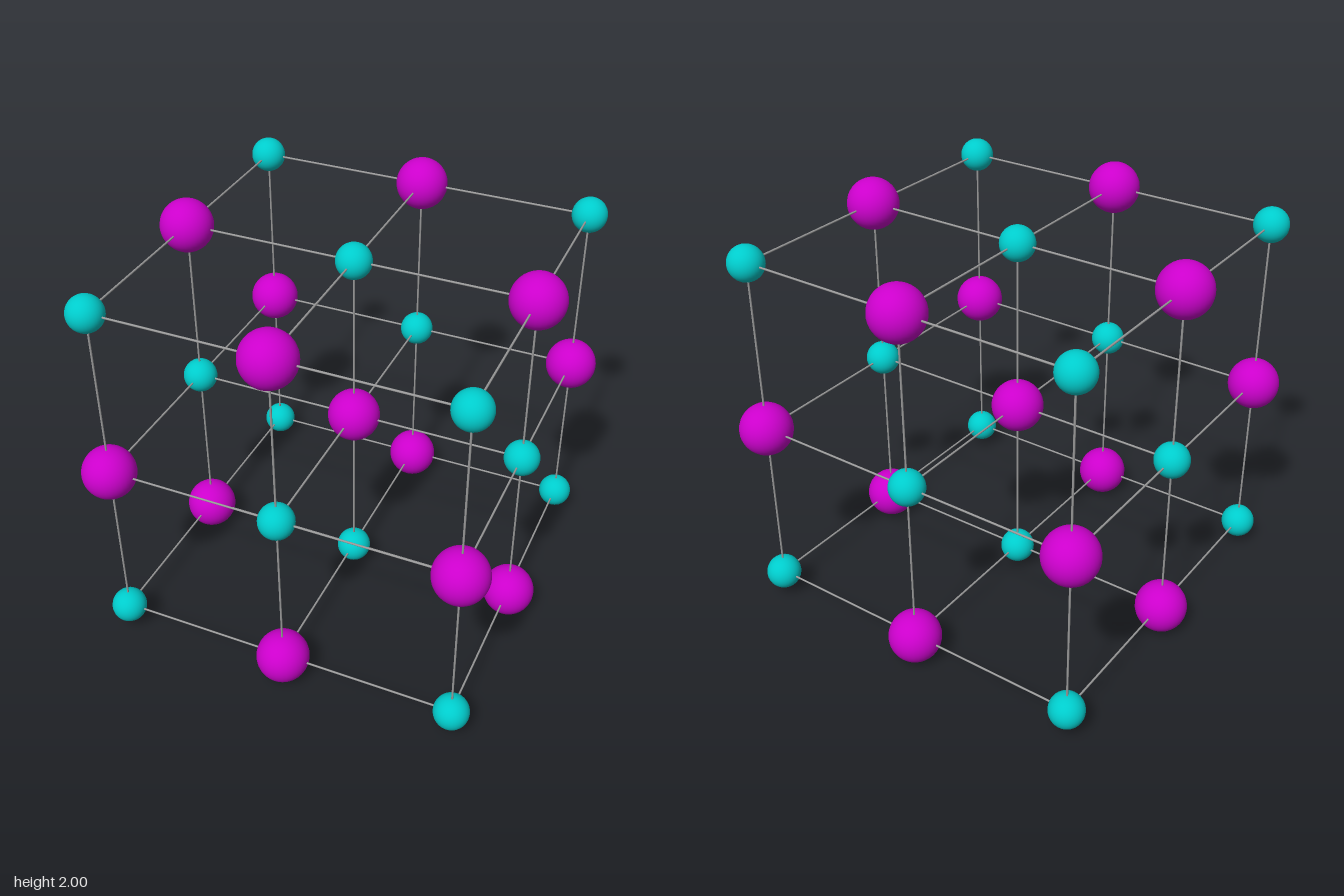
import * as THREE from 'three';

export function createModel() {
  const model = new THREE.Group();
  const mat = (name, color) => Object.assign(new THREE.MeshStandardMaterial({ color }), { name });
  const purple = mat('purple', 0xcc00cc);
  const teal = mat('teal', 0x00cccc);
  const grey = mat('grey', 0x999999);

  const step = 0.87; // lattice spacing
  const largeBall = new THREE.SphereGeometry(0.13, 32, 24);
  const smallBall = new THREE.SphereGeometry(0.087, 32, 24);
  const rod = new THREE.CylinderGeometry(0.005, 0.005, 2 * step, 12);

  const add = (name, geometry, material, x, y, z) => {
    const mesh = new THREE.Mesh(geometry, material);
    mesh.name = name;
    mesh.position.set(x * step, 1 + y * step, z * step);
    model.add(mesh);
    return mesh;
  };

  // Alternating large and small balls on a 3 x 3 x 3 lattice
  const range = [-1, 0, 1];
  for (const x of range) for (const y of range) for (const z of range) {
    if ((x + y + z) % 2 === 0) add('largeBall', largeBall, purple, x, y, z);
    else add('smallBall', smallBall, teal, x, y, z);
  }

  // Thin rods through every row of balls along each axis
  for (const a of range) for (const b of range) {
    add('uprightRod', rod, grey, a, 0, b);
    add('crossRod', rod, grey, 0, a, b).rotation.z = Math.PI / 2;
    add('depthRod', rod, grey, a, b, 0).rotation.x = Math.PI / 2;
  }

  return model;
}
